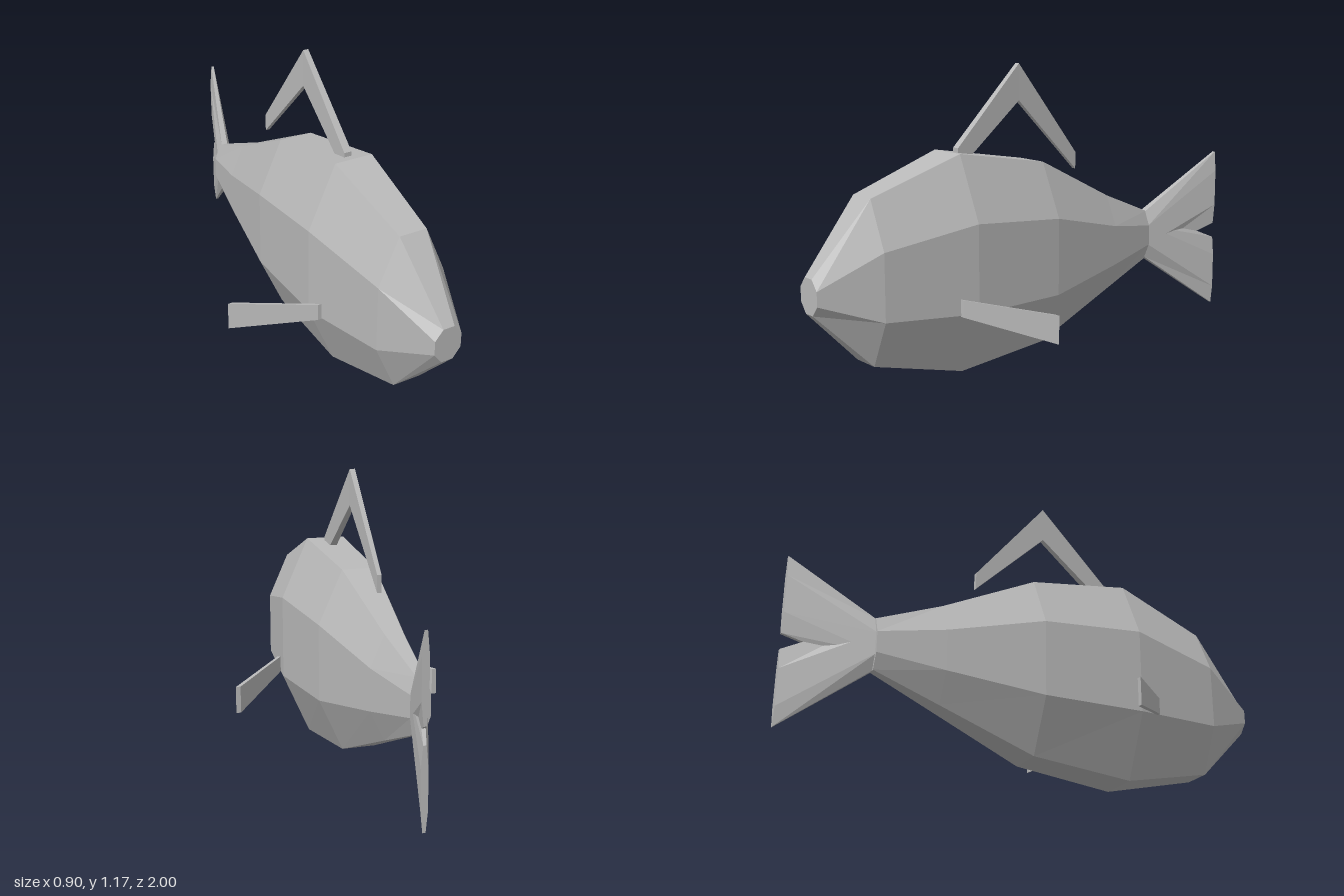
import * as THREE from 'three';

// Octagonal ring: half width w, flat top/bottom half width t, y levels low to high
const octagon = (z, w, t, y0, y1, y2, y3, cx = 0) => ({
  z,
  pts: [[w, y1], [w, y2], [t, y3], [-t, y3], [-w, y2], [-w, y1], [-t, y0], [t, y0]]
    .map(([x, y]) => [x + cx, y]),
});

// Rectangular ring
const box = (z, x0, x1, y0, y1) => ({ z, pts: [[x1, y0], [x1, y1], [x0, y1], [x0, y0]] });

// Faceted, capped skin over rings ordered from front to back
function loft(rings) {
  const pos = [];
  const put = (ring, i) => pos.push(...ring.pts[i], ring.z);
  const n = rings[0].pts.length;
  for (let r = 0; r < rings.length - 1; r++) {
    const a = rings[r], b = rings[r + 1];
    for (let i = 0; i < n; i++) {
      const j = (i + 1) % n;
      put(a, i); put(b, i); put(b, j);
      put(a, i); put(b, j); put(a, j);
    }
  }
  const last = rings[rings.length - 1];
  for (let i = 1; i < n - 1; i++) {
    put(rings[0], 0); put(rings[0], i); put(rings[0], i + 1);
    put(last, 0); put(last, i + 1); put(last, i);
  }
  const geo = new THREE.BufferGeometry();
  geo.setAttribute('position', new THREE.Float32BufferAttribute(pos, 3));
  geo.computeVertexNormals();
  return geo;
}

export function createModel() {
  const model = new THREE.Group();
  model.name = 'fish';
  const grey = new THREE.MeshStandardMaterial({ color: 0xb8b8b8, flatShading: true });
  grey.name = 'grey';
  const add = (name, rings) => {
    const mesh = new THREE.Mesh(loft(rings), grey);
    mesh.name = name;
    model.add(mesh);
  };

  // Body from snout to tail root
  add('body', [
    octagon(1, 0.057, 0.024, 0.322, 0.362, 0.418, 0.457),
    octagon(0.77, 0.142, 0.058, 0.095, 0.28, 0.54, 0.725),
    octagon(0.385, 0.195, 0.081, 0.003, 0.257, 0.603, 0.855),
    octagon(-0.035, 0.17, 0.07, 0.04, 0.255, 0.567, 0.785),
    octagon(-0.42, 0.095, 0.038, 0.188, 0.308, 0.475, 0.6),
    octagon(-0.68, 0.04, 0.016, 0.287, 0.35, 0.435, 0.498),
  ]);

  // Forked tail, swept to the left
  const tailRoot = octagon(-0.675, 0.034, 0.014, 0.29, 0.35, 0.435, 0.498, 0.005);
  add('upperTailLobe', [tailRoot, octagon(-1, 0.014, 0.006, 0.42, 0.505, 0.66, 0.745, 0.12)]);
  add('lowerTailLobe', [tailRoot, octagon(-1, 0.014, 0.006, 0.05, 0.127, 0.275, 0.355, 0.12)]);

  // Bent dorsal fin with a free rear end
  add('dorsalFin', [
    box(0.345, -0.016, 0.016, 0.78, 0.866),
    box(0.04, -0.011, 0.011, 1.03, 1.176),
    box(-0.265, -0.009, 0.009, 0.727, 0.797),
  ]);

  // Swept side fins
  for (const [name, s] of [['leftFin', 1], ['rightFin', -1]]) {
    const ring = (z, inner, outer, y0, y1) =>
      box(z, Math.min(s * inner, s * outer), Math.max(s * inner, s * outer), y0, y1);
    add(name, [
      ring(0.463, 0.184, 0.2, 0.258, 0.325),
      ring(0.21, 0.432, 0.452, 0.163, 0.275),
    ]);
  }
  return model;
}
